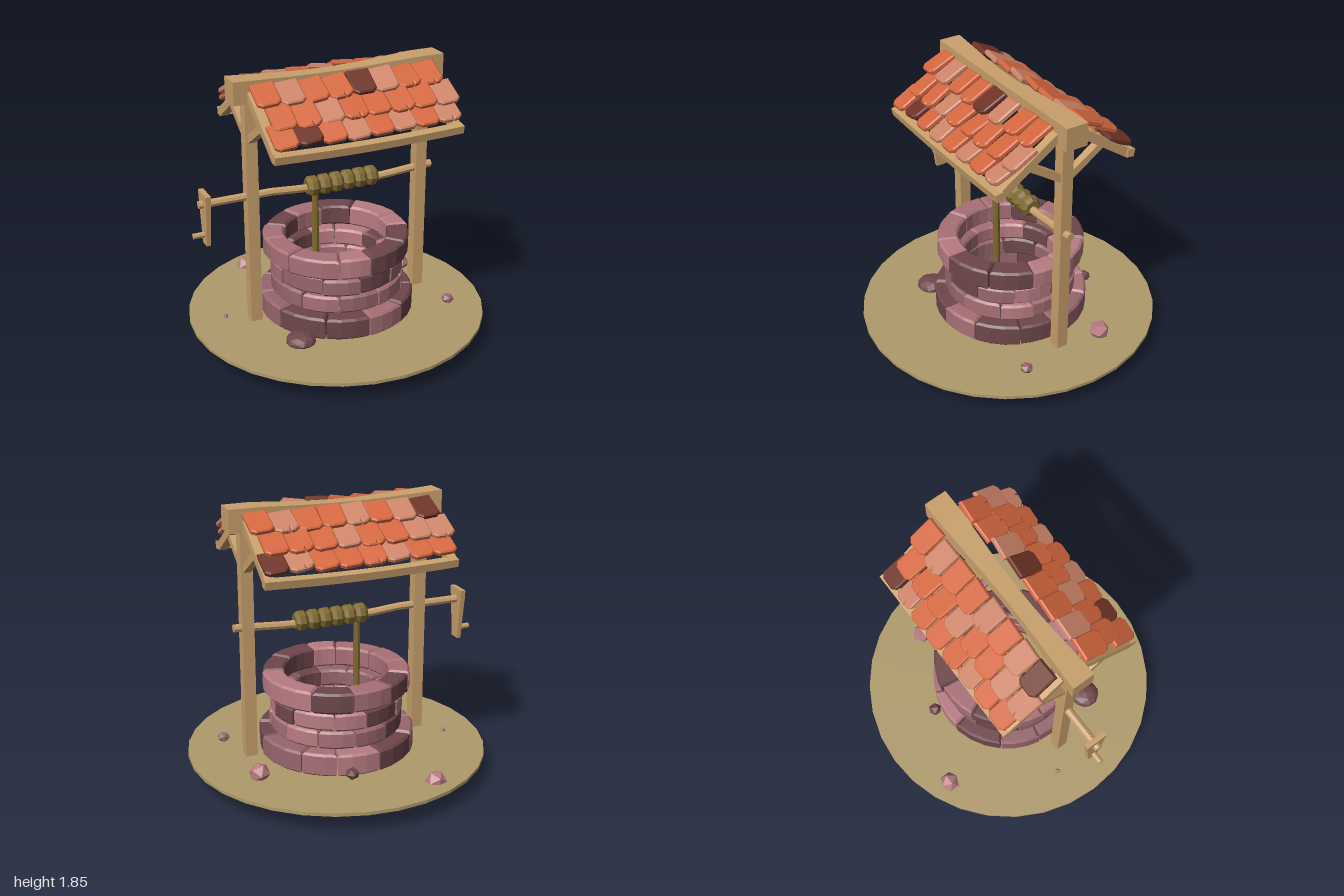
import * as THREE from 'three';

const mat = (color) => new THREE.MeshStandardMaterial({ color, flatShading: true });
const wood = mat(0xc9a06c), rope = mat(0x806a30), earth = mat(0xaf9a6a);
const stones = [mat(0xb87c82), mat(0xa87076), mat(0x97666c), mat(0x6e474b)];
const clay = { o: mat(0xd4673f), l: mat(0xcd8468), d: mat(0x6e3428) };

let seed = 7;
const rnd = () => (seed = (seed * 16807) % 2147483647) / 2147483647;
const jitter = (a) => (rnd() - 0.5) * 2 * a;

export function createModel() {
  const model = new THREE.Group();
  model.name = 'well';

  const add = (name, geo, material, x = 0, y = 0, z = 0, parent = model) => {
    const m = new THREE.Mesh(geo, material);
    m.name = name;
    m.position.set(x, y, z);
    parent.add(m);
    return m;
  };
  const group = (name) => {
    const g = new THREE.Group();
    g.name = name;
    model.add(g);
    return g;
  };
  // Moves every vertex by a rule
  const warp = (geo, rule) => {
    const p = geo.attributes.position, v = new THREE.Vector3();
    for (let i = 0; i < p.count; i++) {
      rule(v.fromBufferAttribute(p, i));
      p.setXYZ(i, v.x, v.y, v.z);
    }
    geo.computeVertexNormals();
    return geo;
  };

  // Ground disc
  add('ground', new THREE.CylinderGeometry(1, 1, 0.022, 32), earth, 0, 0.146, 0);

  // Stone courses: arc-shaped bevelled bricks
  const brick = (r0, r1, a0, a1, h) => {
    const n = 3, b = 0.014, pts = [];
    const at = (r, t) => new THREE.Vector2(r * Math.cos(t), r * Math.sin(t));
    for (let i = 0; i <= n; i++) pts.push(at(r1, a0 + ((a1 - a0) * i) / n));
    for (let i = n; i >= 0; i--) pts.push(at(r0, a0 + ((a1 - a0) * i) / n));
    return new THREE.ExtrudeGeometry(new THREE.Shape(pts), {
      depth: h - 2 * b, bevelEnabled: true, bevelThickness: b, bevelSize: b, bevelOffset: -b, bevelSegments: 1,
    }).translate(0, 0, b).rotateX(-Math.PI / 2);
  };
  const courses = [
    [0.155, 0.15, 0.37, 0.515, 0.1],
    [0.31, 0.12, 0.32, 0.44, 0.35],
    [0.435, 0.12, 0.32, 0.44, 0.0],
    [0.575, 0.135, 0.345, 0.485, 0.25],
  ];
  courses.forEach(([y, h, r0, r1, start], c) => {
    const ring = group('stoneCourse' + (c + 1));
    ring.position.set(0.008, y, -0.01);
    const count = 11, cuts = [];
    for (let i = 0; i < count; i++) cuts.push(start + ((i + jitter(0.16)) * Math.PI * 2) / count);
    cuts.push(cuts[0] + Math.PI * 2);
    for (let i = 0; i < count; i++) {
      const shade = stones[Math.min(3, Math.floor(rnd() * 4.2))];
      const k = jitter(0.008);
      add('brick', brick(r0 + k, r1 + k, cuts[i] + 0.008, cuts[i + 1] - 0.008, h + jitter(0.006)), shade, 0, 0, 0, ring);
    }
  });

  // Loose stones: x, y, z, radius, vertical squash, shade
  [
    [-0.36, 0.16, -0.78, 0.07, 1, 0],
    [0.12, 0.2, -0.56, 0.045, 0.9, 3],
    [0.65, 0.185, -0.3, 0.07, 1, 0],
    [0.7, 0.18, 0.31, 0.045, 0.75, 2],
    [-0.75, 0.165, -0.13, 0.017, 1, 1],
    [-0.42, 0.168, 0.37, 0.1, 0.52, 3],
  ].forEach(([x, y, z, r, squash, s], i) => {
    const rock = add('looseStone', new THREE.IcosahedronGeometry(r, i === 5 ? 1 : 0), stones[s], x, y, z);
    rock.scale.y = squash;
    rock.rotation.y = i;
  });

  // Posts, rafters and braces at both ends
  const strut = (name, x, w, t, z0, y0, z1, y1) => {
    const m = add(name, new THREE.BoxGeometry(w, t, Math.hypot(z1 - z0, y1 - y0)), wood, x, (y0 + y1) / 2, (z0 + z1) / 2);
    m.rotation.x = -Math.atan2(y1 - y0, z1 - z0);
  };
  for (const x of [-0.59, 0.612]) {
    add('post', new THREE.BoxGeometry(0.078, 1.56, 0.078), wood, x, 0.96, 0);
    for (const s of [-1, 1]) {
      strut('rafter', x, 0.06, 0.055, s * 0.06, 1.755, s * 0.47, 1.475);
      strut('brace', x, 0.05, 0.048, s * 0.01, 1.445, s * 0.27, 1.615);
    }
  }

  // Ridge beam with a worn waist
  add('ridgeBeam', warp(new THREE.BoxGeometry(1.44, 0.15, 0.15, 8, 1, 1), (v) => {
    const k = 1 - 0.33 * Math.max(0, Math.cos(((v.x + 0.08) * Math.PI) / 1.2));
    v.y *= k;
    v.z *= k;
  }), wood, 0.01, 1.775, 0);

  // Sagging eave beams
  for (const s of [-1, 1]) {
    const eave = add('eaveBeam', warp(new THREE.BoxGeometry(1.27, 0.052, 0.055, 8, 1, 1), (v) => {
      v.y -= 0.016 * Math.cos((v.x * Math.PI) / 1.27);
    }), wood, 0.015, 1.487, s * 0.47);
    eave.rotation.x = s * 0.2;
  }

  // Roof tiles with a rounded lower edge and, on some, a split
  const tileShape = (w, l, split) => {
    const pts = [[-w, l], [-w, -l * 0.72], [-w * 0.62, -l * 0.96]];
    if (split) pts.push([w * 0.12, -l], [w * 0.18, -l * 0.7], [w * 0.27, -l]);
    pts.push([w * 0.62, -l * 0.96], [w, -l * 0.72], [w, l]);
    return new THREE.Shape(pts.map(([x, y]) => new THREE.Vector2(x, y)));
  };
  const tile = (split) => new THREE.ExtrudeGeometry(tileShape(0.075, 0.098, split), {
    depth: 0.02, bevelEnabled: true, bevelThickness: 0.008, bevelSize: 0.008, bevelOffset: -0.008, bevelSegments: 1,
  }).translate(0, 0, -0.01);
  const plain = tile(false), cracked = tile(true);
  // Rows run from ridge to eave: height, distance from ridge, sideways shift
  const rows = [[1.775, 0.185, -0.01], [1.675, 0.315, 0.035], [1.59, 0.415, 0.0]];
  const colours = [['oloodloo', 'oolooool', 'odololol'], ['oloolold', 'ooolooll', 'dlooolo' + 'o']];
  ['frontTiles', 'backTiles'].forEach((name, side) => {
    const roof = group(name);
    roof.rotation.y = side * Math.PI;
    rows.forEach(([y, z, shift], r) => {
      for (let i = 0; i < 8; i++) {
        const x = (i - 3.5) * 0.157 + shift + (side ? -0.015 : 0.015);
        const t = add('tile', rnd() < 0.4 ? cracked : plain, clay[colours[side][r][i]],
          x, y + jitter(0.006), z + jitter(0.008), roof);
        t.rotation.set(-1.1 + jitter(0.06), -0.13 + jitter(0.05), jitter(0.05));
      }
    });
  });

  // Winding shaft, bent under its load
  add('shaft', warp(new THREE.CylinderGeometry(0.027, 0.027, 1.64, 8, 10).rotateZ(Math.PI / 2), (v) => {
    v.y -= 0.03 * Math.max(0, Math.cos(((v.x - 0.22) * Math.PI) / 1.1));
  }), wood, -0.12, 1.067, 0);

  // Rope coil and hanging rope
  const profile = [new THREE.Vector2(0.001, 0)];
  const turns = 6, pitch = 0.5 / turns;
  for (let i = 0; i < turns; i++) {
    for (const [r, t] of [[0.048, 0], [0.07, 0.28], [0.07, 0.72]]) profile.push(new THREE.Vector2(r, (i + t) * pitch));
  }
  profile.push(new THREE.Vector2(0.048, 0.5), new THREE.Vector2(0.001, 0.5));
  const coil = add('ropeCoil', new THREE.LatheGeometry(profile, 8), rope, 0.29, 1.058, 0);
  coil.rotation.z = Math.PI / 2;
  add('hangingRope', new THREE.CylinderGeometry(0.024, 0.024, 1.04, 8), rope, -0.148, 0.52, 0);

  // Crank arm, wide at the shaft and narrow at the grip
  add('crankArm', warp(new THREE.BoxGeometry(0.034, 0.35, 0.15), (v) => {
    if (v.y < 0) {
      v.z *= 0.5;
      v.x *= 0.8;
    }
  }), wood, -0.897, 0.967, 0);
  add('crankGrip', new THREE.CylinderGeometry(0.019, 0.019, 0.1, 8).rotateZ(Math.PI / 2), wood, -0.935, 0.86, 0);

  return model;
}
